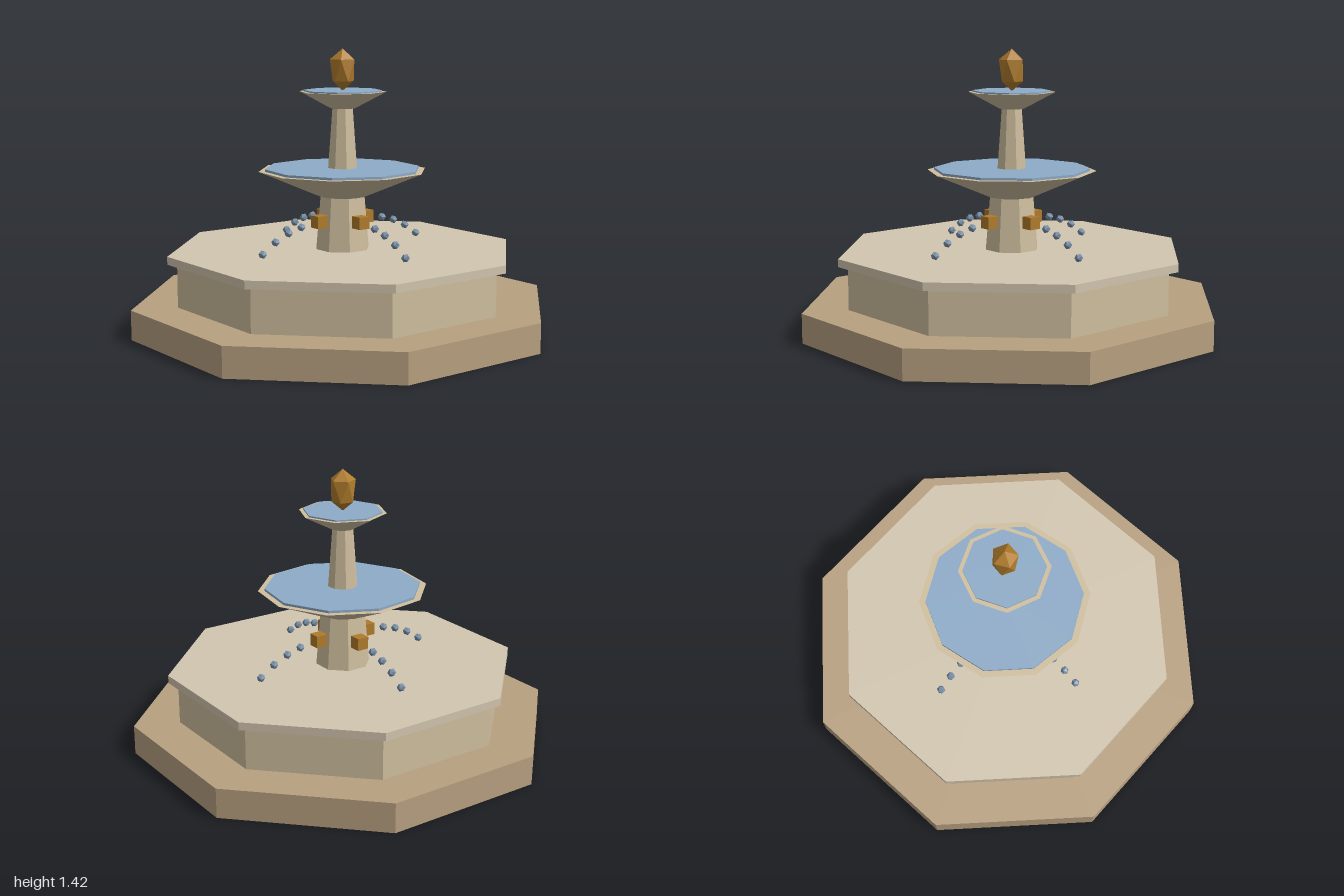
import * as THREE from 'three';

const mat = (color) => new THREE.MeshStandardMaterial({ color, flatShading: true });
const FLAT = Math.PI / 8; // turns an octagon so a flat side faces front
const ACROSS = Math.cos(FLAT); // octagon apothem / radius

export function createModel() {
  const group = new THREE.Group();
  const plinthStone = mat(0xb8a080);
  const stone = mat(0xd0bf9f);
  const rimStone = mat(0xd2c6af);
  const water = mat(0x8eabc8);
  const brass = mat(0xb07c2c);
  const droplet = mat(0x7890a8);

  const add = (name, geometry, material, parent = group) => {
    const mesh = new THREE.Mesh(geometry, material);
    mesh.name = name;
    parent.add(mesh);
    return mesh;
  };

  // Faceted tier between two heights
  const tier = (name, rBottom, rTop, y0, y1, material, sides = 8, turn = FLAT) => {
    const geometry = new THREE.CylinderGeometry(rTop, rBottom, y1 - y0, sides);
    const mesh = add(name, geometry, material);
    mesh.rotation.y = turn;
    mesh.position.y = (y0 + y1) / 2;
  };

  // Basin
  tier('plinth', 1 / ACROSS, 1 / ACROSS, 0, 0.15, plinthStone);
  tier('basinWall', 0.785 / ACROSS, 0.785 / ACROSS, 0.15, 0.37, stone);
  tier('basinRim', 0.83 / ACROSS, 0.83 / ACROSS, 0.37, 0.41, rimStone);

  // Columns and bowls
  tier('lowerColumn', 0.139, 0.115, 0.41, 0.69, stone);
  tier('lowerBowl', 0.12, 0.43, 0.68, 0.812, stone, 10, 0);
  tier('lowerWater', 0.397, 0.397, 0.805, 0.824, water, 10, 0);
  tier('upperColumn', 0.076, 0.053, 0.82, 1.13, stone);
  tier('upperBowl', 0.062, 0.222, 1.125, 1.21, stone, 8, 0);
  tier('upperWater', 0.2, 0.2, 1.2, 1.217, water, 8, 0);

  // Finial: a stretched bud of two staggered five-sided rings
  const ring = (y, r, offset) => Array.from({ length: 5 }, (_, i) => {
    const a = ((i + offset) / 5) * Math.PI * 2;
    return new THREE.Vector3(r * Math.sin(a), y, r * Math.cos(a));
  });
  const top = new THREE.Vector3(0, 1.425, 0);
  const bottom = new THREE.Vector3(0, 1.213, 0);
  const upper = ring(1.371, 0.065, 0);
  const lower = ring(1.262, 0.057, 0.5);
  const points = [];
  for (let i = 0; i < 5; i++) {
    const j = (i + 1) % 5;
    points.push(top, upper[i], upper[j]);
    points.push(upper[i], lower[i], upper[j]);
    points.push(upper[j], lower[i], lower[j]);
    points.push(bottom, lower[j], lower[i]);
  }
  const bud = new THREE.BufferGeometry().setFromPoints(points);
  bud.computeVertexNormals();
  add('finial', bud, brass);

  // Four diagonal spouts, each with an arc of drops (distance outward, height)
  const arc = [[0.26, 0.544], [0.338, 0.522], [0.417, 0.486], [0.494, 0.434]];
  for (let i = 0; i < 4; i++) {
    const jet = new THREE.Group();
    jet.name = 'waterJet';
    jet.rotation.y = Math.PI / 4 + (i * Math.PI) / 2;
    group.add(jet);
    add('spout', new THREE.BoxGeometry(0.062, 0.062, 0.062), brass, jet).position.set(0, 0.561, 0.148);
    for (const [out, y] of arc) {
      add('drop', new THREE.IcosahedronGeometry(0.022, 0), droplet, jet).position.set(0, y, out);
    }
  }
  return group;
}
